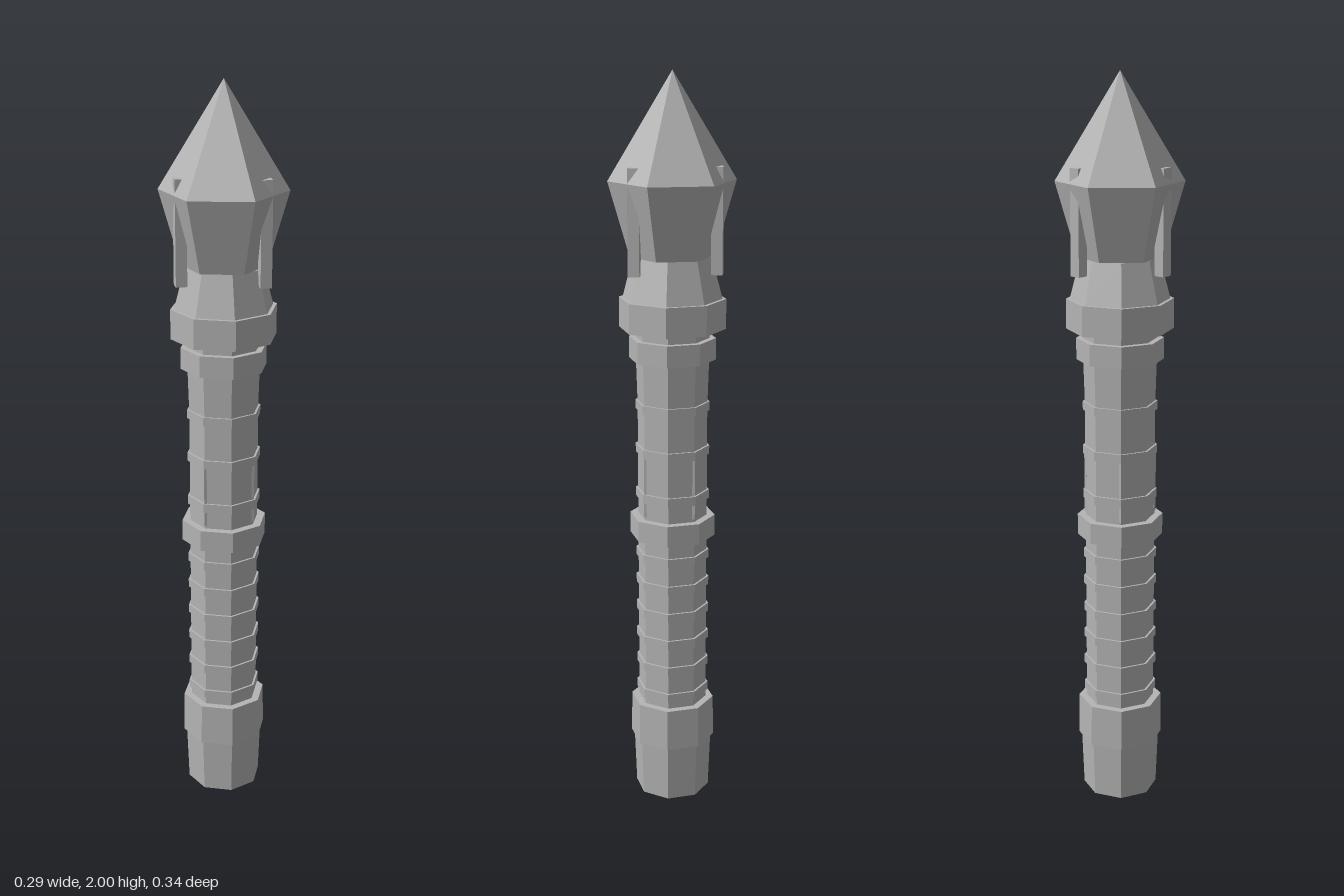
import * as THREE from 'three';

export function createModel() {
  const model = new THREE.Group();
  model.name = 'sceptre';
  const grey = new THREE.MeshStandardMaterial({ color: 0xb4b4b4, flatShading: true });
  grey.name = 'plain grey';

  // Upright prism or frustum from y0 to y1, with a corner facing +z
  function prism(name, sides, y0, y1, r0, r1 = r0, x = 0, z = 0) {
    const geometry = new THREE.CylinderGeometry(r1, r0, y1 - y0, sides);
    const mesh = new THREE.Mesh(geometry, grey);
    mesh.name = name;
    mesh.position.set(x, (y0 + y1) / 2, z);
    model.add(mesh);
  }

  // Octagonal pommel and shaft
  prism('pommel', 8, 0, 0.16, 0.103, 0.109);
  prism('pommelCollar', 8, 0.16, 0.277, 0.117, 0.115);
  prism('shaft', 8, 0.277, 1.34, 0.094);
  prism('upperGrip', 8, 1.13, 1.257, 0.094, 0.098);

  // Narrow grip rings
  for (const y of [0.31, 0.39, 0.47, 0.55, 0.63, 0.71, 1.008, 1.13]) {
    prism('gripRing', 8, y - 0.012, y + 0.012, 0.1);
  }
  prism('middleRing', 8, 0.87, 0.895, 0.1);

  // Wide collars and the neck that holds the crystal
  prism('middleCollar', 8, 0.764, 0.822, 0.116);
  prism('upperCollar', 8, 1.257, 1.315, 0.116);
  prism('neck', 8, 1.315, 1.34, 0.099);
  prism('headCollar', 8, 1.34, 1.42, 0.142);
  prism('crystalSocket', 8, 1.42, 1.53, 0.132, 0.103);

  // Thin studs along the shaft corners
  for (let i = 0; i < 4; i++) {
    const a = i * Math.PI / 2;
    prism('shaftStud', 4, 0.83, 1.0, 0.005, 0.005, 0.092 * Math.cos(a), 0.092 * Math.sin(a));
  }

  // Six-sided crystal
  prism('crystalBase', 6, 1.53, 1.725, 0.112, 0.168);
  prism('crystalTip', 6, 1.725, 2, 0.168, 0);

  // Three prongs around the crystal
  for (let i = 0; i < 3; i++) {
    const a = i * Math.PI * 2 / 3;
    prism('prong', 4, 1.49, 1.765, 0.021, 0.021, 0.124 * Math.cos(a), 0.124 * Math.sin(a));
  }
  return model;
}
